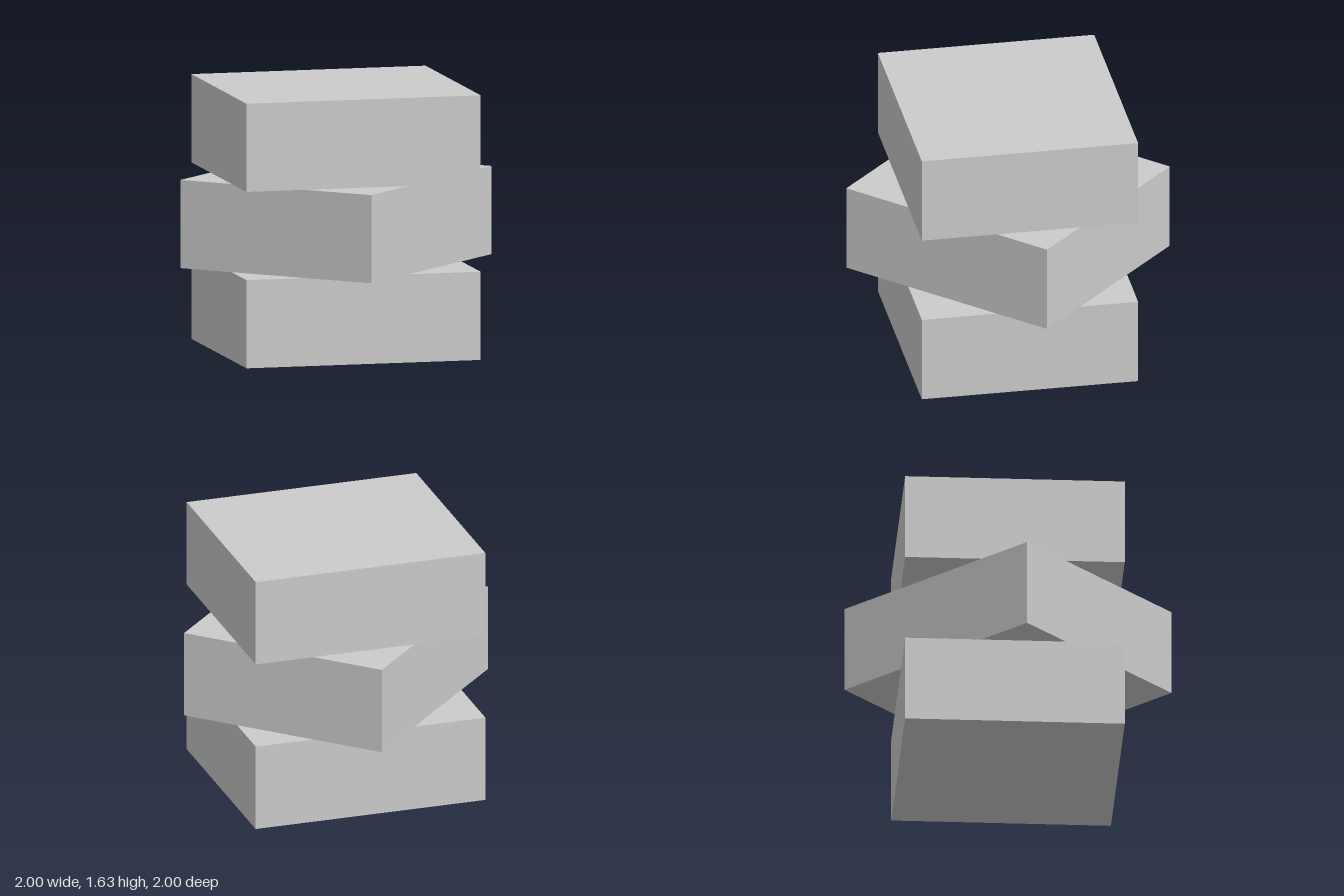
import * as THREE from 'three';

const WIDTH = 1.48, HEIGHT = 0.545, DEPTH = 1.346;
const TWIST = THREE.MathUtils.degToRad(45.7);

export function createModel() {
  const group = new THREE.Group();
  group.name = 'stackedBlocks';
  const material = new THREE.MeshStandardMaterial({ color: 0xcccccc, flatShading: true });
  const block = new THREE.BoxGeometry(WIDTH, HEIGHT, DEPTH);

  // Three identical slabs, the middle one twisted
  ['bottomBlock', 'middleBlock', 'topBlock'].forEach((name, i) => {
    const mesh = new THREE.Mesh(block, material);
    mesh.name = name;
    mesh.position.y = HEIGHT * (i + 0.5);
    mesh.rotation.y = i === 1 ? TWIST : 0;
    group.add(mesh);
  });

  return group;
}
